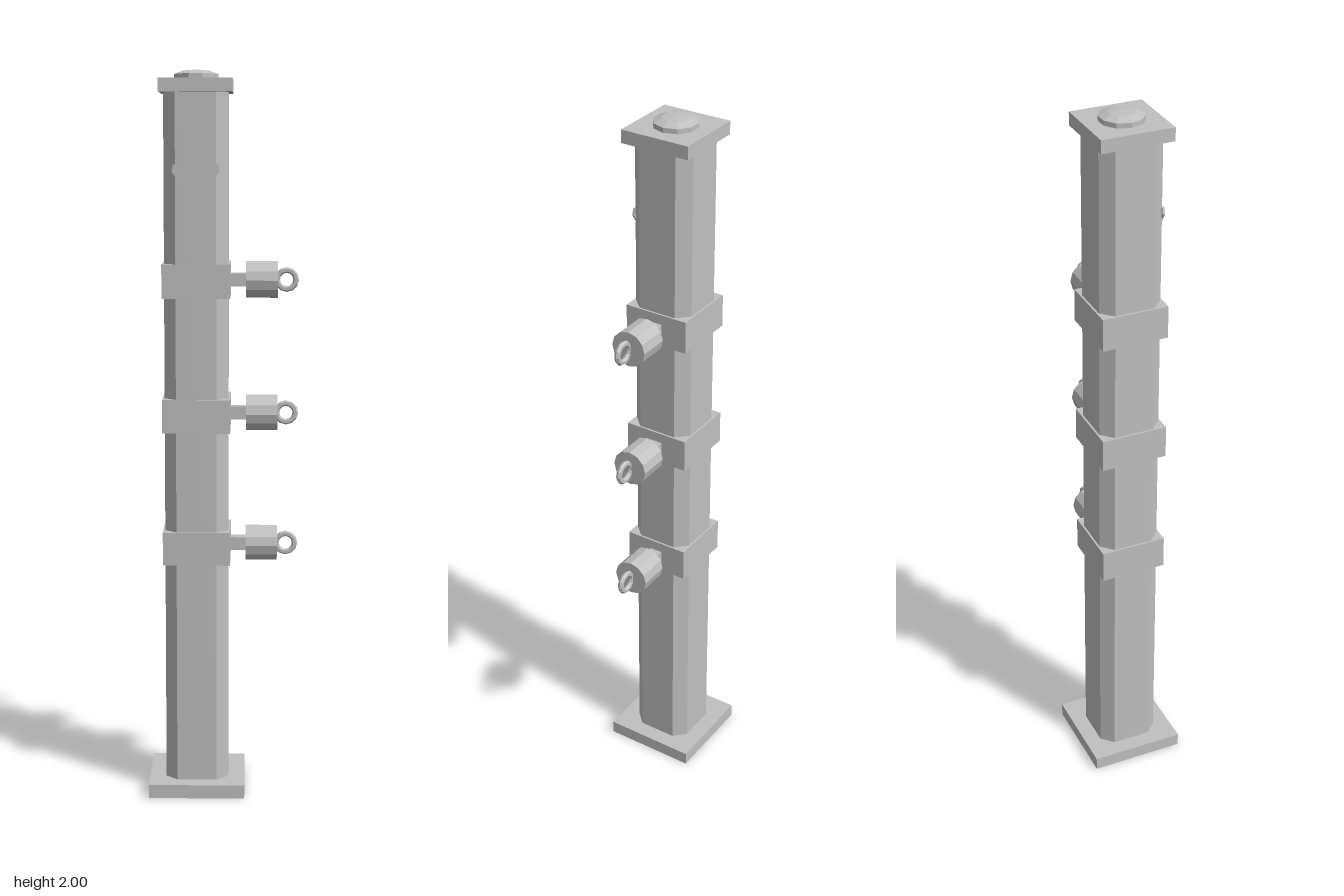
import * as THREE from 'three';

const POST_X = -0.075;

export function createModel() {
  const model = new THREE.Group();
  model.name = 'fencePost';
  const grey = new THREE.MeshStandardMaterial({ color: 0xc0c0c0 });
  grey.name = 'plain grey';

  const add = (parent, name, geometry, x, y, z = 0) => {
    // Unshared vertices give flat facets
    const g = geometry.index ? geometry.toNonIndexed() : geometry;
    g.computeVertexNormals();
    const mesh = new THREE.Mesh(g, grey);
    mesh.name = name;
    mesh.position.set(x, y, z);
    parent.add(mesh);
    return mesh;
  };

  // Square foot and cap plate
  add(model, 'basePlate', new THREE.BoxGeometry(0.266, 0.038, 0.266), POST_X, 0.019);
  add(model, 'capPlate', new THREE.BoxGeometry(0.198, 0.036, 0.198), POST_X, 1.957);

  // Post with chamfered corners
  const h = 0.087, f = 0.055;
  const section = new THREE.Shape([
    [h, -f], [h, f], [f, h], [-f, h], [-h, f], [-h, -f], [-f, -h], [f, -h],
  ].map(([x, y]) => new THREE.Vector2(x, y)));
  const post = new THREE.ExtrudeGeometry(section, { depth: 1.903, bevelEnabled: false });
  post.rotateX(-Math.PI / 2);
  add(model, 'post', post, POST_X, 0.037);

  // Ten-sided finial with a shallow point
  const finial = new THREE.LatheGeometry(
    [[0.06, 0], [0.06, 0.013], [0.036, 0.022], [0, 0.025]].map(([r, y]) => new THREE.Vector2(r, y)), 10);
  finial.rotateY(Math.PI / 2);
  add(model, 'finial', finial, POST_X, 1.975);

  // Plain tapered plate on the upper front face
  const outline = new THREE.Shape([
    [-0.042, -0.043], [0.042, -0.043], [0.05, 0.005], [0.064, 0.025], [0.06, 0.043],
    [-0.06, 0.043], [-0.064, 0.025], [-0.05, 0.005],
  ].map(([x, y]) => new THREE.Vector2(x, y)));
  add(model, 'frontPlate', new THREE.ExtrudeGeometry(outline, { depth: 0.006, bevelEnabled: false }),
    POST_X, 1.705, 0.085);

  // Three collars, each carrying an insulator with a wire ring
  for (const y of [0.702, 1.07, 1.437]) {
    const holder = new THREE.Group();
    holder.name = 'wireHolder';
    holder.position.y = y;
    model.add(holder);
    add(holder, 'collar', new THREE.BoxGeometry(0.185, 0.092, 0.185), POST_X, 0);
    add(holder, 'stub', new THREE.BoxGeometry(0.06, 0.036, 0.036), 0.04, 0);
    const body = new THREE.CylinderGeometry(0.05, 0.05, 0.087, 12);
    body.rotateZ(Math.PI / 2);
    add(holder, 'insulator', body, 0.1035, 0);
    add(holder, 'wireRing', new THREE.TorusGeometry(0.026, 0.008, 6, 12), 0.171, 0);
  }
  return model;
}
